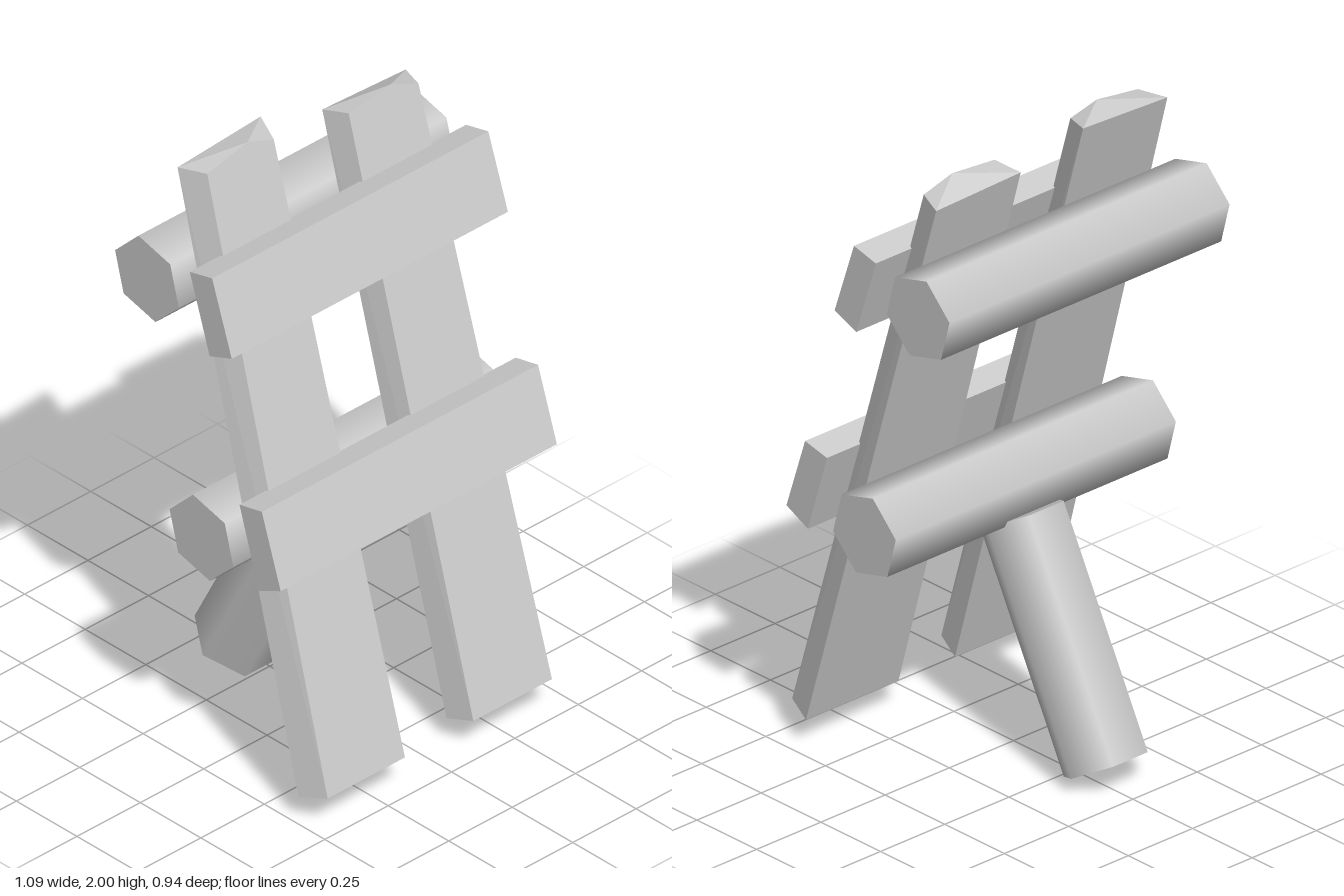
import * as THREE from 'three';
import { ConvexGeometry } from 'three/addons/geometries/ConvexGeometry.js';

const material = new THREE.MeshStandardMaterial({ color: 0xcccccc });

export function createModel() {
  const group = new THREE.Group();
  const add = (name, geometry) => {
    const mesh = new THREE.Mesh(geometry, material);
    mesh.name = name;
    group.add(mesh);
    return mesh;
  };

  // Leaning planes that hold the front and back faces of the uprights
  const front = (x, y) => new THREE.Vector3(x, y, 0.47 - (y - 0.11) * 0.291);
  const back = (x, y) => new THREE.Vector3(x, y, 0.38 - (y - 0.085) * 0.287);

  // Upright planks: bevelled sides, rough peaked tops
  const upright = (name, frontPoints, backPoints) => add(name, new ConvexGeometry([
    ...frontPoints.map(([x, y]) => front(x, y)),
    ...backPoints.map(([x, y]) => back(x, y)),
  ]));
  upright('rightUpright',
    [[-0.46, 0.11], [-0.155, 0.11], [-0.155, 1.97], [-0.25, 2.0], [-0.417, 1.972]],
    [[-0.49, 0.085], [-0.125, 0.085], [-0.117, 1.985], [-0.45, 1.967]]);
  upright('leftUpright',
    [[0.115, 0.11], [0.425, 0.11], [0.4, 1.912], [0.3, 1.95], [0.13, 1.932]],
    [[0.095, 0.085], [0.455, 0.085], [0.433, 1.903], [0.107, 1.915]]);

  // Horizontal boards across the front, profile given as (z, y)
  const board = (name, profile) => add(name, new ConvexGeometry(
    profile.flatMap(([z, y]) => [-0.545, 0.545].map((x) => new THREE.Vector3(x, y, z)))));
  board('upperBoard', [[0.082, 1.747], [-0.01, 1.725], [0.163, 1.51], [0.072, 1.475]]);
  board('lowerBoard', [[0.287, 1.045], [0.195, 1.025], [0.365, 0.81], [0.275, 0.768]]);

  // Six-sided logs across the back
  const log = (name, y, z) => {
    const geometry = new THREE.CylinderGeometry(0.136, 0.136, 1.09, 6, 1, false, Math.PI / 4);
    add(name, geometry.rotateZ(Math.PI / 2)).position.set(0, y, z);
  };
  log('upperLog', 1.615, -0.187);
  log('lowerLog', 0.835, 0.038);

  // Rear prop leg
  const top = new THREE.Vector3(-0.02, 0.73, -0.0125);
  const foot = new THREE.Vector3(-0.02, 0.057, -0.365);
  const axis = top.clone().sub(foot);
  const leg = add('propLeg',
    new THREE.CylinderGeometry(0.135, 0.135, axis.length(), 6, 1, false, Math.PI / 2));
  leg.position.copy(top).add(foot).multiplyScalar(0.5);
  leg.rotation.x = Math.atan2(axis.z, axis.y);

  return group;
}
